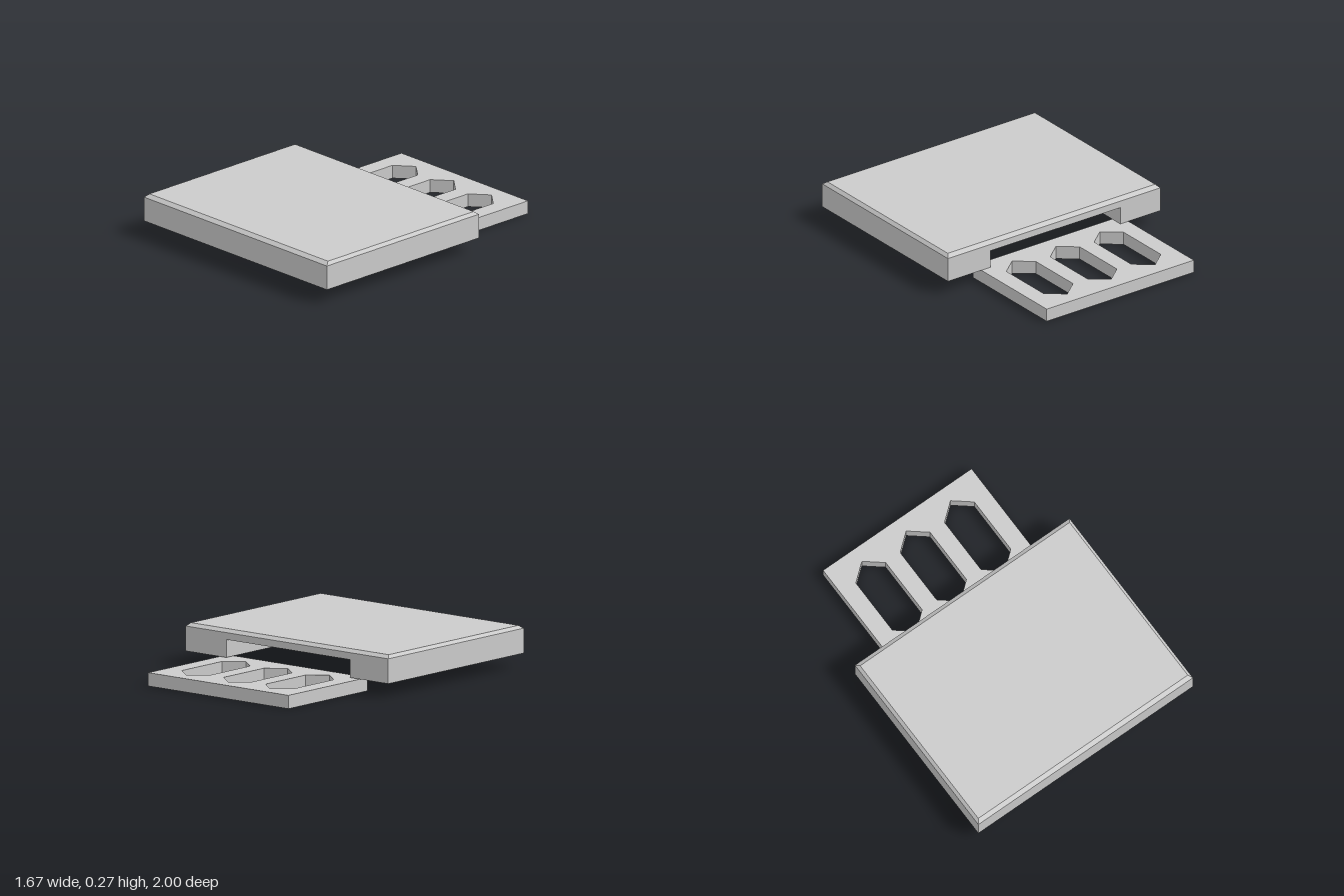
import * as THREE from 'three';

const material = new THREE.MeshStandardMaterial({ color: 0xcccccc, flatShading: true });

// Flat-faced geometry from convex polygons, corners counter-clockwise from outside
function fromPolygons(polygons) {
  const pos = [];
  for (const p of polygons)
    for (let i = 1; i < p.length - 1; i++) pos.push(...p[0], ...p[i], ...p[i + 1]);
  const geometry = new THREE.BufferGeometry();
  geometry.setAttribute('position', new THREE.Float32BufferAttribute(pos, 3));
  geometry.computeVertexNormals();
  return geometry;
}

// Slab with a chamfered top and a ramped channel underneath, open at the back
function makeBody() {
  const X = 0.835, back = -0.32, front = 1;
  const bottom = 0.09, shoulder = 0.25, top = 0.27;
  const n0 = -0.52, n1 = 0.5, roof = 0.205, rampBack = 0.4, rampFront = 0.97;
  const faces = [];

  const ring = (y, dx, dz) => [
    [-X + dx, y, front - dz], [X - dx, y, front - dz],
    [X - dx, y, back + dz], [-X + dx, y, back + dz],
  ];
  const low = ring(bottom, 0, 0), mid = ring(shoulder, 0, 0), high = ring(top, 0.02, 0.028);
  for (let i = 0; i < 4; i++) {
    const j = (i + 1) % 4;
    if (i !== 2) faces.push([low[i], low[j], mid[j], mid[i]]);
    faces.push([mid[i], mid[j], high[j], high[i]]);
  }
  faces.push(high);

  // Back wall around the channel mouth
  const backRect = (x0, x1, y0, y1) =>
    faces.push([[x1, y0, back], [x0, y0, back], [x0, y1, back], [x1, y1, back]]);
  backRect(-X, n0, bottom, shoulder);
  backRect(n1, X, bottom, shoulder);
  backRect(n0, n1, roof, shoulder);

  // Underside, channel roof and ramp
  const under = (x0, x1, z0, y0, z1, y1) =>
    faces.push([[x0, y1, z1], [x0, y0, z0], [x1, y0, z0], [x1, y1, z1]]);
  under(-X, n0, back, bottom, front, bottom);
  under(n1, X, back, bottom, front, bottom);
  under(n0, n1, rampFront, bottom, front, bottom);
  under(n0, n1, back, roof, rampBack, roof);
  under(n0, n1, rampBack, roof, rampFront, bottom);

  // Channel side walls
  const wall = (x) => [
    [x, bottom, rampFront], [x, bottom, back], [x, roof, back], [x, roof, rampBack],
  ];
  faces.push(wall(n0), wall(n1).reverse());
  return fromPolygons(faces);
}

// Plate with three elongated hexagonal holes
function makePlate() {
  const shape = new THREE.Shape([
    [-0.588, 0.228], [0.568, 0.228], [0.568, 1], [-0.588, 1],
  ].map(([x, y]) => new THREE.Vector2(x, y)));
  for (const cx of [-0.355, -0.01, 0.335]) {
    const w = 0.116;
    shape.holes.push(new THREE.Path([
      [cx, 0.325], [cx - w, 0.42], [cx - w, 0.81],
      [cx, 0.905], [cx + w, 0.81], [cx + w, 0.42],
    ].map(([x, y]) => new THREE.Vector2(x, y))));
  }
  return new THREE.ExtrudeGeometry(shape, { depth: 0.086, bevelEnabled: false })
    .rotateX(-Math.PI / 2);
}

export function createModel() {
  const group = new THREE.Group();
  const add = (name, geometry) => {
    const mesh = new THREE.Mesh(geometry, material);
    mesh.name = name;
    group.add(mesh);
  };
  add('slabBody', makeBody());
  add('slottedPlate', makePlate());
  return group;
}
